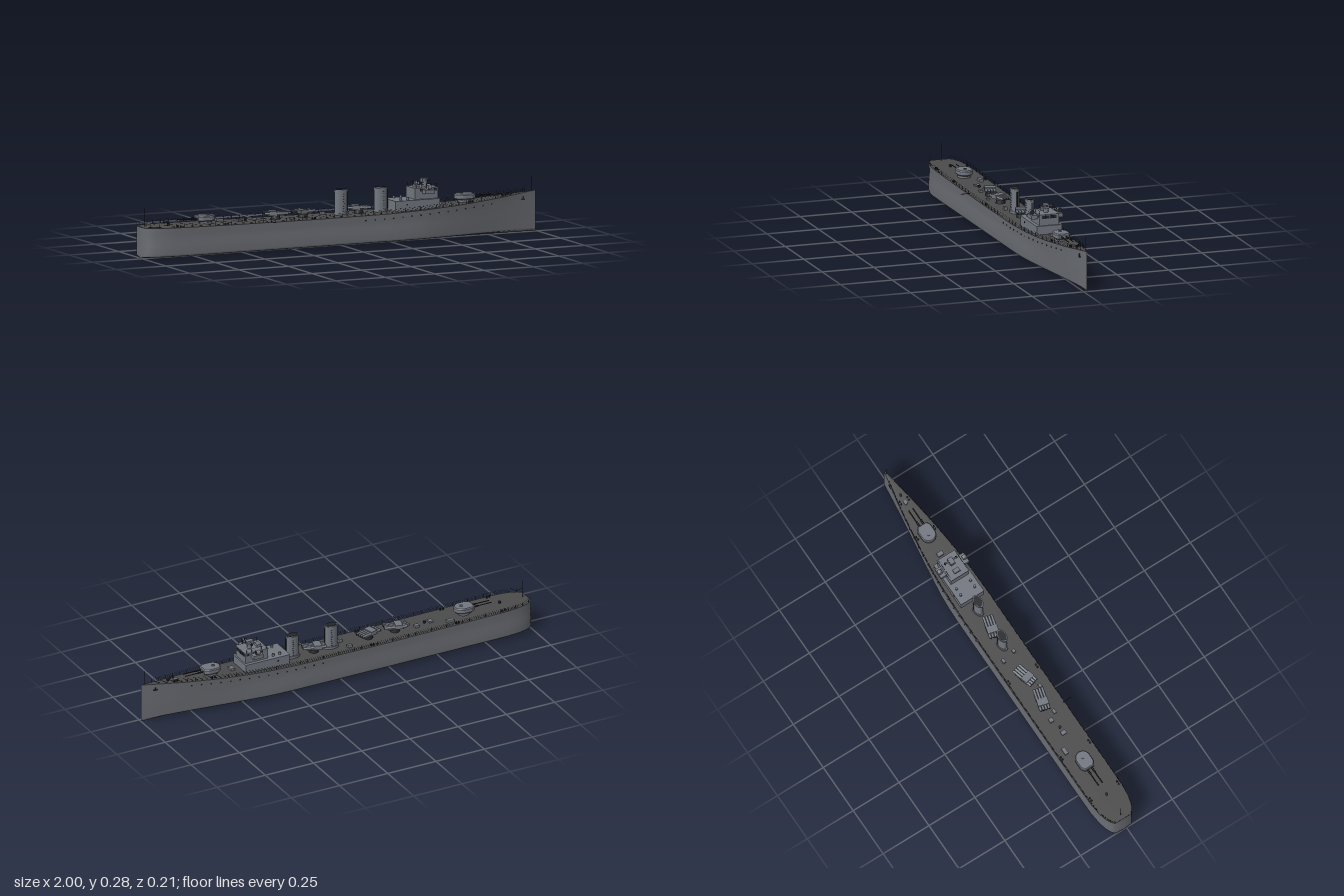
import * as THREE from 'three';

const mat = (name, color, side = THREE.FrontSide) => {
  const m = new THREE.MeshStandardMaterial({ color, side });
  m.name = name;
  return m;
};

// Piecewise interpolation through [key, value] pairs
function lerpTable(table, k) {
  if (k <= table[0][0]) return table[0][1];
  for (let i = 1; i < table.length; i++) {
    const [a, va] = table[i - 1], [b, vb] = table[i];
    if (k <= b) return va + (vb - va) * (k - a) / (b - a);
  }
  return table[table.length - 1][1];
}

const BEAM = [[-1, 0.044], [-0.985, 0.058], [-0.96, 0.07], [-0.92, 0.08], [-0.86, 0.086], [-0.75, 0.087], [0.25, 0.087],
  [0.4, 0.083], [0.5, 0.076], [0.6, 0.066], [0.7, 0.053], [0.8, 0.038], [0.9, 0.02], [1, 0.0008]];
const SHEER = [[-1, 0.144], [-0.6, 0.139], [-0.2, 0.136], [0.2, 0.137], [0.4, 0.143], [0.6, 0.153], [0.8, 0.168], [1, 0.187]];
const half = x => lerpTable(BEAM, x);
const deckY = x => lerpTable(SHEER, x);

// Half cross-section of the hull: [y, z] from keel to deck edge
function section(x) {
  const w = half(x), top = deckY(x);
  const flare = x > 0.35 ? 1 - 0.35 * Math.min(1, (x - 0.35) / 0.5) : 1;
  const mid = (1 + flare) / 2;
  return [[0, 0], [0.005, 0.5 * w * flare], [0.009, 0.92 * w * flare], [0.012, 0.975 * w * flare], [0.02, w * flare],
    [0.06, w * (flare + mid) / 2], [0.085, 0.975 * w * mid], [top - 0.03, 0.98 * w * (1 + mid) / 2], [top, w]];
}
const sideZ = (x, y) => lerpTable(section(x), y);

// Skin over cross-section rings of equal length
function loft(rings) {
  const n = rings[0].length, index = [];
  for (let i = 0; i < rings.length - 1; i++) {
    for (let j = 0; j < n - 1; j++) {
      const a = i * n + j, c = a + 1, b = a + n, d = b + 1;
      index.push(a, c, b, b, c, d);
    }
  }
  const g = new THREE.BufferGeometry();
  g.setAttribute('position', new THREE.Float32BufferAttribute(rings.flat(2), 3));
  g.setIndex(index);
  g.computeVertexNormals();
  return g;
}

export function createModel() {
  const M = {
    hull: mat('hull grey', 0x6a6d73),
    deck: mat('deck dark grey', 0x4b4b4c, THREE.DoubleSide),
    upper: mat('superstructure grey', 0x727780),
    dark: mat('fittings black', 0x25262a),
  };
  const root = new THREE.Group();
  root.name = 'warship';
  const ship = new THREE.Group();
  ship.name = 'ship';
  ship.position.z = -0.017;
  root.add(ship);

  const add = (parent, name, geo, m, x = 0, y = 0, z = 0) => {
    const mesh = new THREE.Mesh(geo, m);
    mesh.name = name;
    mesh.position.set(x, y, z);
    parent.add(mesh);
    return mesh;
  };
  const group = (name, x, y, z = 0, turn = 0) => {
    const g = new THREE.Group();
    g.name = name;
    g.position.set(x, y, z);
    g.rotation.y = turn;
    ship.add(g);
    return g;
  };
  const box = (a, b, c) => new THREE.BoxGeometry(a, b, c);
  const cyl = (r, h, n = 16, r2 = r) => new THREE.CylinderGeometry(r, r2, h, n);
  const rodX = (r, l, n = 8) => cyl(r, l, n).rotateZ(Math.PI / 2);
  const rodZ = (r, l, n = 8) => cyl(r, l, n).rotateX(Math.PI / 2);

  // Hull shell and deck
  const xs = BEAM.map(p => p[0]);
  for (let x = -0.6; x < 0.96; x += 0.1) xs.push(x + 0.03);
  xs.sort((a, b) => a - b);
  const rings = xs.map(x => {
    const s = section(x);
    return [...s.slice().reverse().map(([y, z]) => [x, y, z]), ...s.slice(1).map(([y, z]) => [x, y, -z])];
  });
  rings.unshift(rings[0].map(([x, y]) => [x, y, 0]));
  add(ship, 'hull', loft(rings), M.hull);
  add(ship, 'deck', loft(xs.map(x => [[x, deckY(x), -half(x)], [x, deckY(x) + 0.001, 0], [x, deckY(x), half(x)]])), M.deck);

  // Guard rails, portholes, bollards and anchors on both sides
  for (const s of [1, -1]) {
    for (const h of [0.006, 0.012, 0.018]) {
      const pts = xs.filter(x => x < 0.98).map(x => new THREE.Vector3(x, deckY(x) + h, s * (half(x) - 0.002)));
      add(ship, 'railWire', new THREE.TubeGeometry(new THREE.CatmullRomCurve3(pts), 90, 0.0004, 3), M.dark);
    }
    for (let x = -0.98; x < 0.98; x += 0.04)
      add(ship, 'railPost', cyl(0.0008, 0.018, 4), M.dark, x, deckY(x) + 0.009, s * (half(x) - 0.002));
    for (let x = 0.1; x < 0.76; x += 0.047) {
      const y = deckY(x) - 0.022;
      add(ship, 'porthole', rodZ(0.0038, 0.003, 10), M.dark, x, y, s * sideZ(x, y));
    }
    for (const x of [-0.84, -0.6, -0.16, 0.65, 0.83])
      for (const d of [-0.007, 0.007])
        add(ship, 'bollard', cyl(0.004, 0.009, 8), M.dark, x + d, deckY(x) + 0.0045, s * (half(x) - 0.012));
    add(ship, 'anchor', box(0.007, 0.018, 0.005), M.dark, 0.93, 0.155, s * sideZ(0.93, 0.155));
    add(ship, 'anchorFluke', box(0.02, 0.006, 0.005), M.dark, 0.93, 0.15, s * sideZ(0.93, 0.15));
  }
  add(ship, 'sternStaff', cyl(0.0012, 0.085, 6), M.dark, -0.98, 0.186);
  add(ship, 'bowStaff', cyl(0.0012, 0.07, 6), M.dark, 0.98, 0.218);
  add(ship, 'boatBoom', rodZ(0.0015, 0.045, 6), M.dark, -0.375, 0.14, 0.101);

  // Twin gun turrets: flat face, rounded rear
  const plan = new THREE.Shape();
  plan.moveTo(0.042, -0.022);
  plan.lineTo(0.042, 0.022);
  plan.lineTo(0.025, 0.032);
  plan.lineTo(-0.01, 0.032);
  plan.absarc(-0.01, 0, 0.032, Math.PI / 2, Math.PI * 1.5, false);
  plan.lineTo(0.025, -0.032);
  const turretGeo = new THREE.ExtrudeGeometry(plan, { depth: 0.016, bevelThickness: 0.005, bevelSize: 0.004, bevelSegments: 1, curveSegments: 10 });
  turretGeo.rotateX(-Math.PI / 2);
  for (const [name, x, turn] of [['foreTurret', 0.638, 0], ['aftTurret', -0.672, Math.PI]]) {
    const t = group(name, x, deckY(x), 0, turn);
    add(t, 'barbette', cyl(0.03, 0.014, 24), M.upper, 0, 0.007);
    add(t, 'gunHouse', turretGeo, M.upper, 0, 0.018);
    add(t, 'roofHatch', cyl(0.007, 0.005, 12), M.upper, -0.012, 0.041);
    for (const z of [-0.011, 0.011]) {
      add(t, 'gunSleeve', rodX(0.004, 0.03), M.dark, 0.057, 0.025, z);
      add(t, 'gunBarrel', rodX(0.0022, 0.1), M.dark, 0.088, 0.025, z);
    }
  }

  // Trainable tube launchers
  for (const [x, turn] of [[-0.317, -0.26], [-0.178, 0.26], [0.104, -0.26]]) {
    const t = group('tubeLauncher', x, deckY(x), 0, turn);
    add(t, 'pedestal', cyl(0.019, 0.02, 16, 0.023), M.dark, 0, 0.01);
    add(t, 'platform', box(0.075, 0.004, 0.052), M.upper, 0, 0.021);
    for (let i = -1.5; i < 2; i++) {
      add(t, 'launchTube', rodX(0.0062, 0.108, 10), M.upper, 0, 0.029, i * 0.013);
      add(t, 'tubeMouth', rodX(0.005, 0.11, 10), M.dark, 0, 0.029, i * 0.013);
    }
    add(t, 'shield', box(0.035, 0.016, 0.053), M.upper, -0.015, 0.031);
  }

  // Oval funnels with caps, steam pipe and ladder
  const oval = (r, h, k = 0.62) => cyl(r, h, 28).scale(1, 1, k);
  for (const [x, top] of [[0.014, 0.255], [0.215, 0.252]]) {
    const y = deckY(x), h = top - y, f = group('funnel', x, y);
    add(f, 'funnelBase', oval(0.037, 0.012), M.upper, 0, 0.006);
    add(f, 'stack', oval(0.031, h - 0.004), M.upper, 0, h / 2);
    add(f, 'cap', oval(0.034, 0.008), M.upper, 0, h - 0.008);
    add(f, 'smokeOpening', oval(0.028, 0.003), M.dark, 0, h - 0.002);
    add(f, 'steamPipe', cyl(0.003, h - 0.02, 8), M.dark, 0.034, h / 2 - 0.005);
    for (const s of [1, -1])
      for (let k = 0; k < 8; k++)
        add(f, 'ladderRung', box(0.007, 0.0015, 0.002), M.dark, 0.006, 0.018 + k * 0.011, s * 0.0195);
  }

  // Deckhouse and bridge
  const bridge = group('bridge', 0, 0);
  add(bridge, 'deckhouse', box(0.225, 0.052, 0.122), M.upper, 0.375, 0.161);
  add(bridge, 'deckhouseRoof', box(0.23, 0.003, 0.126), M.upper, 0.375, 0.1875);
  add(bridge, 'wheelhouse', box(0.115, 0.05, 0.094), M.upper, 0.425, 0.213);
  add(bridge, 'wheelhouseRoof', box(0.12, 0.003, 0.098), M.upper, 0.425, 0.239);
  for (let i = -1.5; i < 2; i++)
    add(bridge, 'frontWindow', box(0.003, 0.014, 0.016), M.dark, 0.483, 0.228, i * 0.0182);
  for (const s of [1, -1]) {
    add(bridge, 'bridgeWing', box(0.05, 0.018, 0.03), M.upper, 0.43, 0.224, s * 0.062);
    add(bridge, 'lampStand', cyl(0.004, 0.012, 8), M.dark, 0.43, 0.236, s * 0.067);
    add(bridge, 'searchlight', rodX(0.011, 0.018, 18), M.upper, 0.43, 0.244, s * 0.067);
    add(bridge, 'searchlightLens', rodX(0.0095, 0.002, 18), M.dark, 0.439, 0.244, s * 0.067);
    for (const x of [0.4, 0.435, 0.47])
      add(bridge, 'sideWindow', box(0.016, 0.01, 0.002), M.dark, x, 0.23, s * 0.047);
    for (let x = 0.375; x < 0.49; x += 0.025)
      add(bridge, 'roofRailPost', cyl(0.0008, 0.018, 4), M.dark, x, 0.249, s * 0.045);
    add(bridge, 'roofRail', rodX(0.0006, 0.1, 4), M.dark, 0.425, 0.257, s * 0.045);
    for (const x of [0.3, 0.335])
      add(bridge, 'ventilator', cyl(0.006, 0.012, 10), M.upper, x, 0.195, s * 0.038);
    add(bridge, 'deckhousePorthole', rodZ(0.004, 0.003, 10), M.dark, 0.32, 0.17, s * 0.061);
  }
  add(bridge, 'roofLocker', box(0.02, 0.012, 0.03), M.upper, 0.395, 0.246);

  // Gun director with rangefinder
  const director = group('director', 0.438, 0.24);
  add(director, 'directorPedestal', cyl(0.011, 0.022, 16), M.upper, 0, 0.011);
  add(director, 'directorHouse', box(0.034, 0.018, 0.023), M.upper, 0, 0.029);
  add(director, 'directorSight', box(0.002, 0.007, 0.012), M.dark, 0.0175, 0.031);
  add(director, 'rangefinder', rodZ(0.004, 0.062), M.upper, 0.004, 0.03);
  for (const s of [1, -1])
    add(director, 'rangefinderEnd', rodZ(0.006, 0.006, 12), M.dark, 0.004, 0.03, s * 0.031);

  // Small deck fittings: [x, z, length, height, width]
  const lockers = [[-0.58, -0.045, 0.035, 0.012, 0.018], [-0.5, 0, 0.02, 0.008, 0.025], [-0.42, -0.015, 0.02, 0.012, 0.02],
    [-0.39, 0.02, 0.022, 0.01, 0.014], [-0.25, 0.035, 0.018, 0.008, 0.014], [-0.06, -0.04, 0.022, 0.014, 0.014],
    [-0.045, 0.025, 0.018, 0.016, 0.014], [0.53, 0, 0.02, 0.012, 0.03], [0.82, 0, 0.02, 0.007, 0.014]];
  for (const [x, z, l, h, w] of lockers)
    add(ship, 'deckLocker', box(l, h, w), M.upper, x, deckY(x) + h / 2, z);
  for (const x of [-0.86, -0.47, 0.86])
    add(ship, 'capstan', cyl(0.007, 0.01, 12, 0.005), M.dark, x, deckY(x) + 0.006);
  return root;
}
